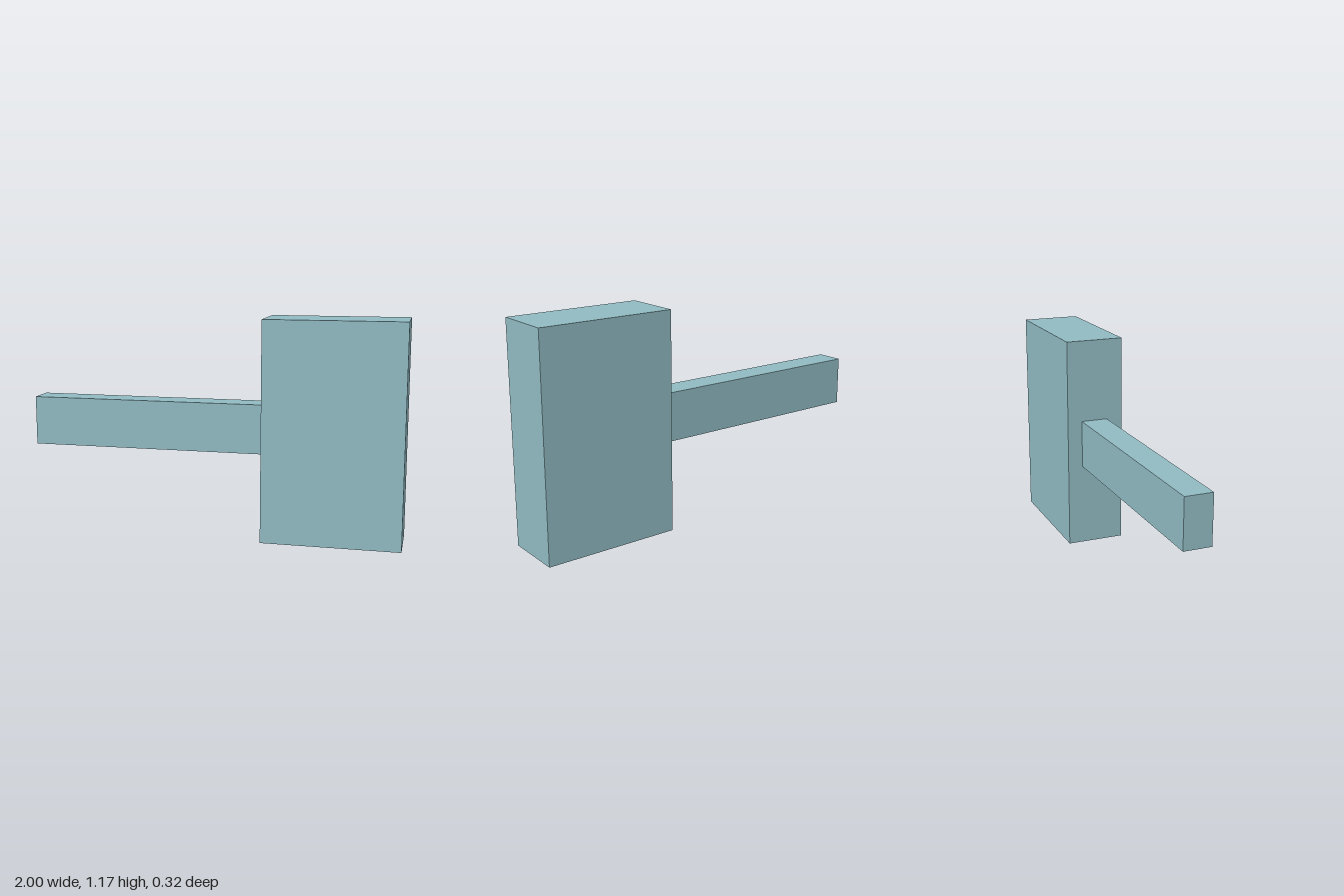
import * as THREE from 'three';

export function createModel() {
  const model = new THREE.Group();
  model.name = 'mallet';

  const paleTeal = new THREE.MeshStandardMaterial({ color: 0x91bbc3 });
  paleTeal.name = 'paleTeal';

  // Box given by its minimum and maximum corners
  function addBlock(name, min, max) {
    const size = max.map((v, i) => v - min[i]);
    const mesh = new THREE.Mesh(new THREE.BoxGeometry(...size), paleTeal);
    mesh.position.set(...max.map((v, i) => (v + min[i]) / 2));
    mesh.name = name;
    model.add(mesh);
  }

  // Upright striking head
  addBlock('head', [0.27, 0, -0.159], [1, 1.167, 0.159]);
  // Horizontal handle, butted against the side of the head
  addBlock('handle', [-1, 0.455, -0.077], [0.27, 0.717, 0.07]);

  return model;
}
